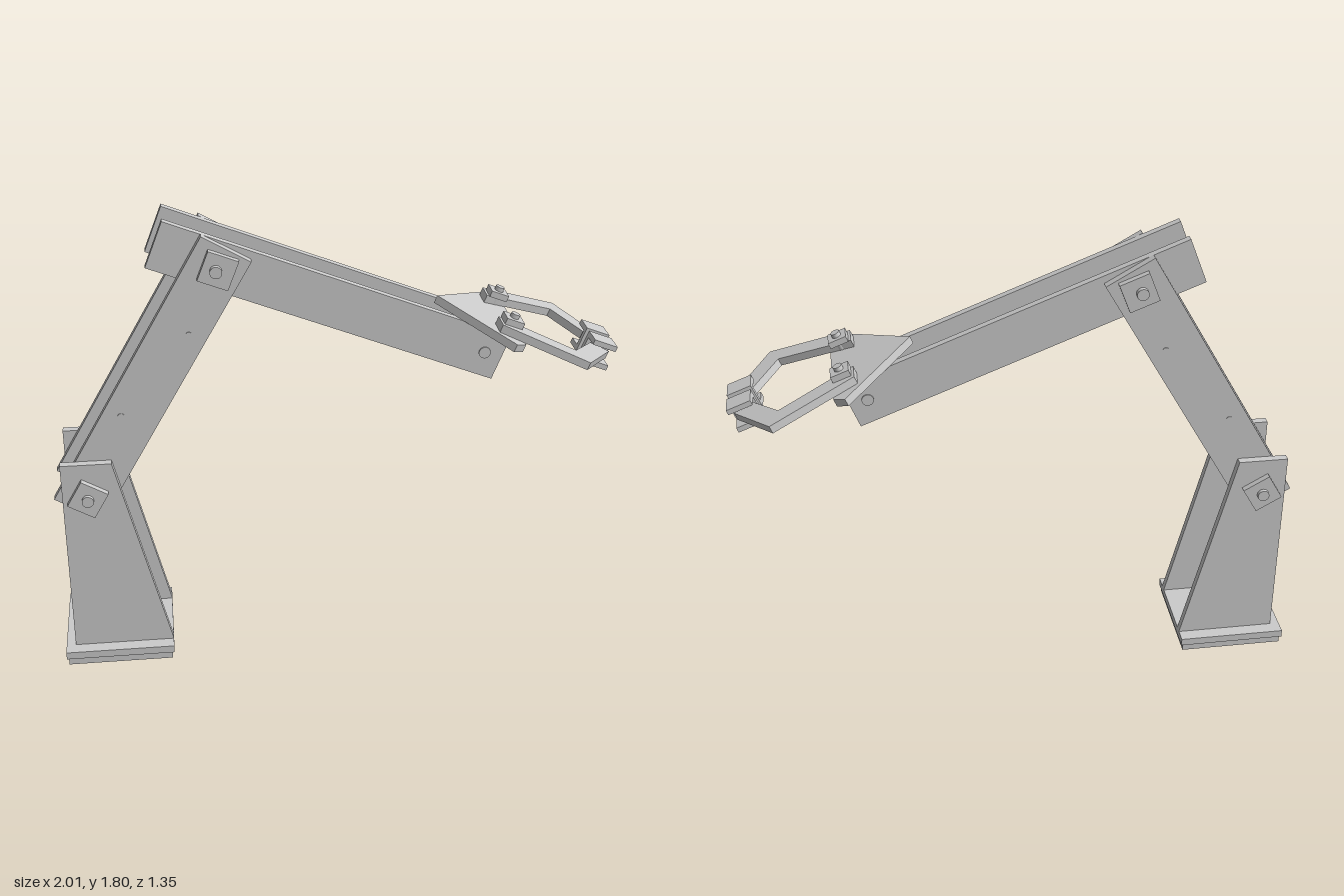
import * as THREE from 'three';

const DEG = Math.PI / 180;
const material = new THREE.MeshStandardMaterial({ color: 0xcccccc, flatShading: false });

function add(parent, name, geometry, x = 0, y = 0, z = 0) {
  const mesh = new THREE.Mesh(geometry, material);
  mesh.name = name;
  mesh.position.set(x, y, z);
  parent.add(mesh);
  return mesh;
}

const box = (w, h, d) => new THREE.BoxGeometry(w, h, d);
const rod = (r, length) => new THREE.CylinderGeometry(r, r, length, 24);
const crossRod = (r, length) => rod(r, length).rotateX(Math.PI / 2);

function extrude(points, depth) {
  const shape = new THREE.Shape(points.map(([x, y]) => new THREE.Vector2(x, y)));
  return new THREE.ExtrudeGeometry(shape, { depth, bevelEnabled: false });
}

// Flat plate drawn in x/z, with its top face at the given height
const flatPlate = (points, top, thickness) =>
  extrude(points, thickness).rotateX(Math.PI / 2).translate(0, top, 0);

function group(parent, name, x, y, angle) {
  const g = new THREE.Group();
  g.name = name;
  g.position.set(x, y, 0);
  g.rotation.z = angle;
  parent.add(g);
  return g;
}

export function createModel() {
  const model = new THREE.Group();
  model.name = 'roboticArm';

  // Everything is built along +x, then turned on the base
  const arm = new THREE.Group();
  arm.name = 'turnedArm';
  arm.position.set(-0.737, 0, 0.386);
  arm.rotation.y = 28 * DEG;
  model.add(arm);

  // Base: two stacked plates and a turning shaft
  add(arm, 'baseLowerPlate', box(0.4, 0.03, 0.4), 0, 0.065, 0);
  add(arm, 'baseUpperPlate', box(0.415, 0.03, 0.415), 0, 0.095, 0);
  add(arm, 'baseShaft', rod(0.03, 0.145), 0, 0.0725, 0);

  // Tapered side towers
  const towerShape = [[-0.172, 0.11], [0.208, 0.11], [0.016, 0.9], [-0.172, 0.9]];
  for (const w of [0.126, -0.156]) add(arm, 'tower', extrude(towerShape, 0.03), 0, 0, w);

  // Lower arm, x running from shoulder to elbow
  const lower = group(arm, 'lowerArm', -0.078, 0.765, 60 * DEG);
  add(lower, 'shoulderPin', crossRod(0.022, 0.39));
  add(lower, 'elbowPin', crossRod(0.022, 0.336), 1, 0, 0);
  for (const side of [1, -1]) {
    add(lower, 'lowerBeam', box(1.16, 0.2, 0.031), 0.5, 0, side * 0.1105);
    add(lower, 'shoulderNut', box(0.112, 0.112, 0.024), 0, 0, side * 0.168);
  }

  // Spacer rods between the lower beams
  add(arm, 'spacerRod', crossRod(0.012, 0.256), 0.062, 1.077, 0);
  add(arm, 'spacerRod', crossRod(0.012, 0.256), 0.32, 1.385, 0);

  // Upper arm, x running from elbow to wrist
  const upper = group(arm, 'upperArm', 0.43, 1.63, -21.5 * DEG);
  add(upper, 'wristPin', crossRod(0.022, 0.2), 1.042, 0, 0);
  for (const side of [1, -1]) {
    add(upper, 'upperBeam', box(1.345, 0.18, 0.03), 0.4375, 0, side * 0.08);
    add(upper, 'elbowNut', box(0.115, 0.115, 0.024), 0, 0, side * 0.138);
  }

  // Gripper palm resting on the beams
  const palm = [[0.816, 0], [1.082, 0.253], [1.125, 0.222], [1.125, -0.222], [1.082, -0.253]];
  add(upper, 'palm', flatPlate(palm, 0.12, 0.03));

  // Bent fingers, their bolts and the U-shaped fingertip pads
  const finger = [
    [1.03, 0.1], [1.322, 0.193], [1.425, 0.05],
    [1.495, 0.08], [1.356, 0.28], [1.03, 0.18],
  ];
  for (const side of [1, -1]) {
    const points = finger.map(([x, z]) => [x, z * side]);
    add(upper, 'finger', flatPlate(points, 0.15, 0.03));
    add(upper, 'fingerNut', box(0.07, 0.024, 0.07), 1.075, 0.162, side * 0.13);
    add(upper, 'fingerBolt', rod(0.017, 0.105), 1.075, 0.1375, side * 0.13);
    for (const y of [0.09, 0.17]) {
      add(upper, 'padPlate', box(0.095, 0.02, 0.084), 1.464, y, side * 0.055);
    }
    add(upper, 'padWall', box(0.095, 0.06, 0.022), 1.464, 0.13, side * 0.024);
  }

  return model;
}
